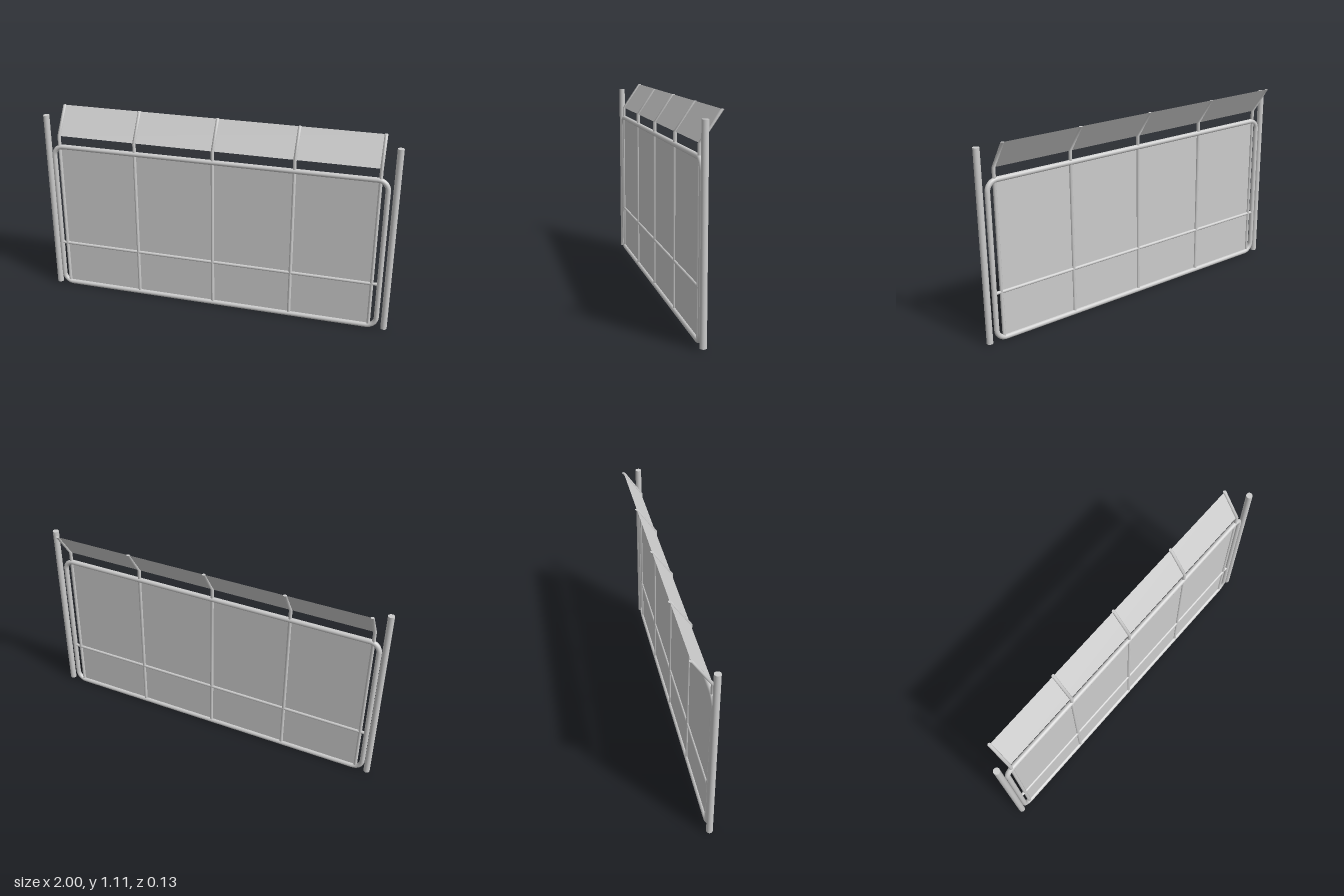
import * as THREE from 'three';

export function createModel() {
  const model = new THREE.Group();
  const metal = new THREE.MeshStandardMaterial({ color: 0xcccccc });
  const sheet = new THREE.MeshStandardMaterial({ color: 0xcccccc, side: THREE.DoubleSide });
  const Z = 0.05;                       // plane of the whole screen
  const bendY = 0.953, topY = 1.105, topZ = -0.055;

  const add = (name, geometry, material, x, y, z, parent = model) => {
    const mesh = new THREE.Mesh(geometry, material);
    mesh.name = name;
    mesh.position.set(x, y, z);
    parent.add(mesh);
    return mesh;
  };
  // straight tube, upright or lying along x
  const bar = (name, r, length, x, y, alongX = false, parent = model) => {
    const mesh = add(name, new THREE.CylinderGeometry(r, r, length, 20), metal, x, y, Z, parent);
    if (alongX) mesh.rotation.z = Math.PI / 2;
    return mesh;
  };

  // free-standing side posts
  for (const side of [-1, 1]) bar('post', 0.0175, 1.064, side * 0.9825, 0.539);

  // rounded tubular frame
  const frame = new THREE.Group();
  frame.name = 'frame';
  model.add(frame);
  const r = 0.014, cr = 0.055, cx = -0.006, hw = 0.944, y0 = 0.014, y1 = 0.889;
  const cy = (y0 + y1) / 2, hh = (y1 - y0) / 2;
  for (const s of [-1, 1]) {
    bar('frameSide', r, 2 * (hh - cr), cx + s * hw, cy, false, frame);
    bar('frameRail', r, 2 * (hw - cr), cx, cy + s * hh, true, frame);
  }
  [[1, 1], [-1, 1], [-1, -1], [1, -1]].forEach(([sx, sy], i) => {
    const corner = add('frameCorner', new THREE.TorusGeometry(cr, r, 20, 8, Math.PI / 2), metal,
      cx + sx * (hw - cr), cy + sy * (hh - cr), Z, frame);
    corner.rotation.z = i * Math.PI / 2;
  });

  // horizontal middle rail
  bar('middleRail', 0.009, 1.876, -0.005, 0.278, true);

  // uprights, leaning back above the bend to carry the canopy
  const firstX = -0.914, spacing = 0.4525, baseY = 0.02;
  for (let i = 0; i < 5; i++) {
    const g = new THREE.CylinderGeometry(0.0095, 0.0095, 1, 16, 2);
    const p = g.attributes.position;
    for (let k = 0; k < p.count; k++) {
      const level = Math.round((p.getY(k) + 0.5) * 2);   // 0 foot, 1 bend, 2 tip
      p.setY(k, [baseY, bendY, topY][level]);
      if (level === 2) p.setZ(k, p.getZ(k) + topZ - Z);
    }
    g.computeVertexNormals();
    add('upright', g, metal, firstX + i * spacing, 0, Z);
  }

  // flat infill panel and tilted canopy sheet
  const panelX = firstX + 2 * spacing, panelW = 4 * spacing;
  add('panel', new THREE.PlaneGeometry(panelW, y1 - y0), sheet, panelX, cy, Z);
  const rise = topY - bendY, run = Z - topZ;
  const canopy = add('canopy', new THREE.PlaneGeometry(panelW, Math.hypot(rise, run)), sheet,
    panelX, (topY + bendY) / 2, (Z + topZ) / 2);
  canopy.rotation.x = -Math.atan2(run, rise);

  return model;
}
